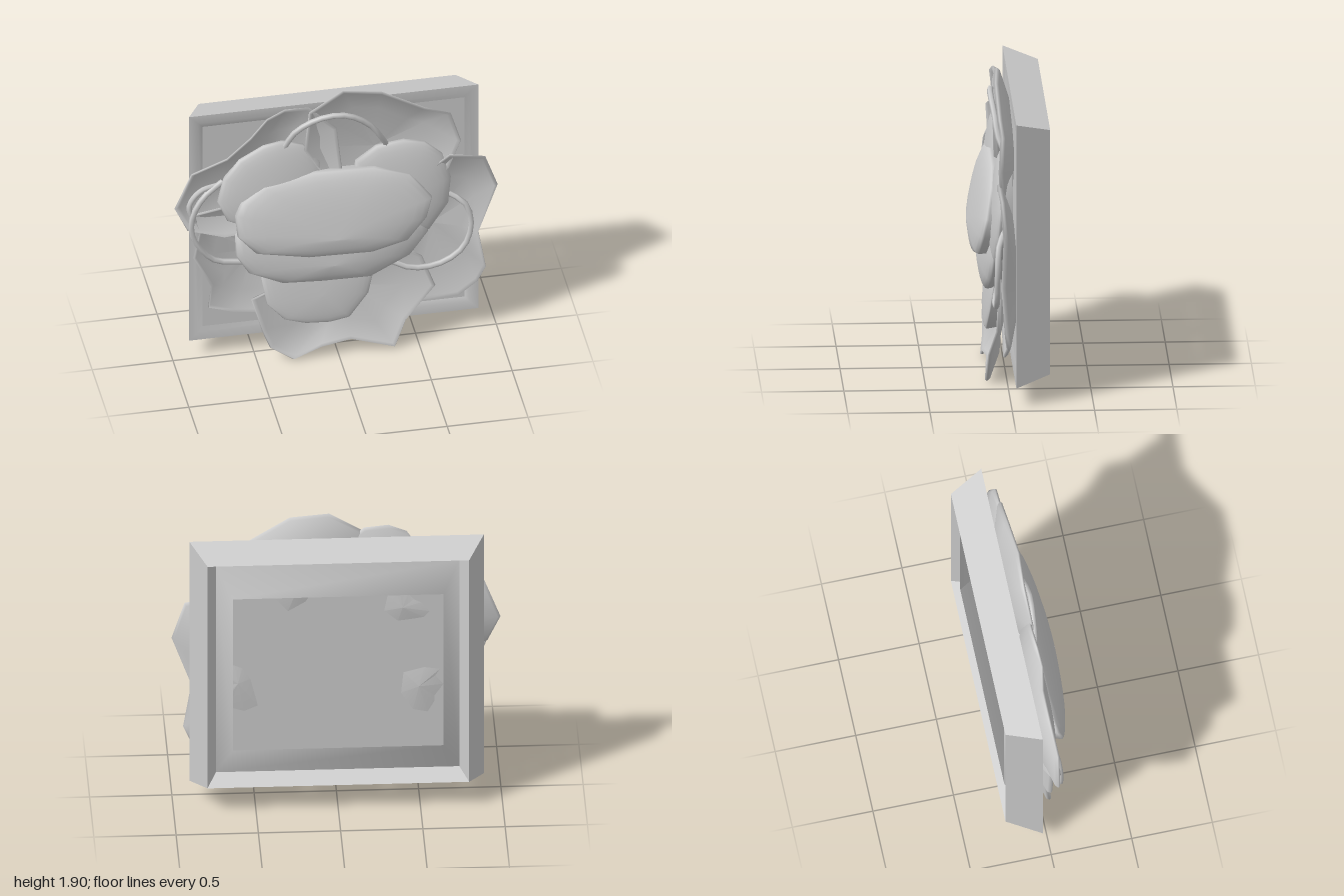
import * as THREE from 'three';
import { mergeVertices, toCreasedNormals } from 'three/addons/utils/BufferGeometryUtils.js';

const material = new THREE.MeshStandardMaterial({ color: 0xcccccc, side: THREE.DoubleSide });
const { lerp, mapLinear } = THREE.MathUtils;

// Skin between loops of points, listed from back to front, each counterclockwise
function loft(loops) {
  const n = loops[0].length, index = [];
  for (let r = 0; r < loops.length - 1; r++) {
    for (let i = 0; i < n; i++) {
      const j = (i + 1) % n;
      const a = r * n + i, b = r * n + j, c = a + n, d = b + n;
      index.push(a, b, d, a, d, c);
    }
  }
  const geometry = new THREE.BufferGeometry();
  geometry.setAttribute('position', new THREE.Float32BufferAttribute(loops.flat(2), 3));
  geometry.setIndex(index);
  return geometry;
}

// Scales an outline toward a centre and gives each point a depth
const shrink = (outline, [cx, cy], s, depth) => outline.map(([x, y], i) => {
  const px = cx + (x - cx) * s, py = cy + (y - cy) * s;
  return [px, py, depth(i, py)];
});

function ccw(outline) {
  const points = outline.map(([x, y]) => new THREE.Vector2(x, y));
  return THREE.ShapeUtils.isClockWise(points) ? [...outline].reverse() : outline;
}

// Depth that leans evenly from the bottom to the top of an outline
function lean(outline, zTop, zBottom) {
  const ys = outline.map(p => p[1]);
  const low = Math.min(...ys), high = Math.max(...ys);
  return y => mapLinear(y, low, high, zBottom, zTop);
}

function addMesh(group, name, geometry) {
  const mesh = new THREE.Mesh(geometry, material);
  mesh.name = name;
  group.add(mesh);
}

// Thin cupped leaf with a rounded rim and slightly wavy edge
function leaf(outline, centre, zCentre, zTop, zBottom) {
  const pts = ccw(outline);
  const rim = lean(pts, zTop, zBottom);
  const ring = (s, lift, t) => shrink(pts, centre, s,
    i => lerp(zCentre, rim(pts[i][1]) + 0.01 * Math.sin(i * 2.1), t) + lift);
  const loops = [
    ring(0.001, -0.022, 0), ring(0.65, -0.022, 0.35), ring(0.97, -0.02, 0.95),
    ring(1, -0.006, 1), ring(0.985, 0.006, 1), ring(0.95, 0, 0.9),
    ring(0.65, 0, 0.35), ring(0.001, 0, 0),
  ];
  const geometry = mergeVertices(loft(loops), 1e-4);
  geometry.computeVertexNormals();
  return geometry;
}

// Swollen fruit on a leaning base, bulging to a peak in front
function fruit(outline, base, peak, zTop, zBottom, bulge) {
  const pts = ccw(outline);
  const rim = lean(pts, zTop, zBottom);
  const loops = [shrink(pts, peak, 0.9, () => -0.02)];
  for (let k = 0; k <= 8; k++) {
    const a = (k / 8) * Math.PI / 2, t = 1 - Math.cos(a);
    const c = [0, 1].map(m => lerp(base[m], peak[m], t));
    loops.push(shrink(pts, c, Math.max(Math.cos(a), 0.002), (i, y) => rim(y) + bulge * Math.sin(a)));
  }
  const geometry = loft(loops);
  geometry.computeVertexNormals();
  return geometry;
}

export function createModel() {
  const group = new THREE.Group();
  const midY = 0.953;

  // Frame tapering to the back, with a grooved rear rim around the opening
  const profile = [
    [0.8, 0.73, -0.05], [0.64, 0.525, -0.215], [0.74, 0.715, -0.14], [0.795, 0.77, -0.24],
    [0.895, 0.83, -0.03], [0.84, 0.775, -0.03], [0.8, 0.73, -0.05],
  ];
  const frame = loft(profile.map(([x, y, z]) =>
    [[-x, midY - y, z], [x, midY - y, z], [x, midY + y, z], [-x, midY + y, z]]));
  addMesh(group, 'frame', toCreasedNormals(frame, 0.9));

  // Back board set in the frame
  const board = new THREE.PlaneGeometry(1.62, 1.48);
  board.translate(0, midY, -0.04);
  addMesh(group, 'board', board);

  // Leaves: outline, centre, centre depth, rim depth at top and bottom
  const leaves = {
    upperLeftLeaf: [[[-1, 1.17], [-0.9, 1.42], [-0.68, 1.5], [-0.53, 1.63], [-0.43, 1.77], [-0.32, 1.82],
      [-0.17, 1.81], [0, 1.65], [0.05, 1.2], [-0.3, 0.95], [-0.7, 0.93], [-0.92, 1]],
      [-0.4, 1.3], -0.03, 0.06, 0.06],
    topLeaf: [[[-0.17, 1.78], [0.04, 1.91], [0.28, 1.88], [0.55, 1.72], [0.71, 1.65], [0.77, 1.45], [0.7, 1.25],
      [0.4, 1], [0, 1.15], [-0.2, 1.5]], [0.25, 1.42], -0.03, 0.065, 0.05],
    rightLeaf: [[[0.7, 1.36], [0.92, 1.31], [1, 1.08], [0.88, 0.75], [0.93, 0.47], [0.88, 0.36], [0.76, 0.28],
      [0.5, 0.27], [0.3, 0.4], [0.3, 0.9], [0.5, 1.2]], [0.6, 0.8], -0.03, 0.065, 0.03],
    lowerLeftLeaf: [[[-0.9, 1.1], [-0.84, 0.98], [-0.88, 0.77], [-0.77, 0.55], [-0.79, 0.4], [-0.62, 0.33],
      [-0.4, 0.31], [-0.15, 0.6], [-0.25, 1], [-0.6, 1.15]], [-0.5, 0.75], -0.03, 0.04, 0.03],
    bottomLeaf: [[[-0.53, 0.45], [-0.47, 0.23], [-0.42, 0.1], [-0.28, 0.01], [-0.11, 0.08], [0.08, 0.1],
      [0.35, 0.02], [0.42, 0.2], [0.61, 0.4], [0.53, 0.62], [0.45, 0.68], [0.2, 0.75], [-0.3, 0.75],
      [-0.42, 0.5]], [0.05, 0.45], 0.03, 0.04, 0.13],
  };
  for (const [name, args] of Object.entries(leaves)) addMesh(group, name, leaf(...args));

  // Fruit: outline, base centre, peak, rim depth at top and bottom, bulge
  const fruits = {
    upperLeftFruit: [[[-0.74, 1.2], [-0.7, 1.35], [-0.6, 1.47], [-0.45, 1.55], [-0.33, 1.57], [-0.2, 1.53],
      [-0.1, 1.4], [-0.08, 1.2], [-0.2, 1.02], [-0.5, 0.98], [-0.68, 1.06]],
      [-0.4, 1.28], [-0.4, 1.22], 0.02, 0.09, 0.05],
    upperRightFruit: [[[0.12, 1.37], [0.25, 1.46], [0.42, 1.48], [0.55, 1.45], [0.66, 1.35], [0.71, 1.18],
      [0.69, 1], [0.57, 0.83], [0.4, 0.8], [0.2, 0.95], [0.1, 1.15]],
      [0.42, 1.16], [0.42, 1.1], 0.02, 0.08, 0.06],
    bottomFruit: [[[-0.47, 0.62], [-0.44, 0.42], [-0.33, 0.3], [-0.2, 0.26], [-0.05, 0.25], [0.07, 0.27],
      [0.19, 0.42], [0.24, 0.62], [0.1, 0.75], [-0.3, 0.75]], [-0.1, 0.5], [-0.1, 0.45], 0.05, 0.115, 0.035],
    lowerFruit: [[[-0.63, 0.95], [-0.63, 0.8], [-0.55, 0.67], [-0.35, 0.58], [-0.1, 0.565], [0.2, 0.56],
      [0.45, 0.68], [0.56, 0.82], [0.57, 0.95], [0.3, 1.05], [-0.4, 1.05]],
      [-0.03, 0.8], [-0.03, 0.7], 0.06, 0.115, 0.07],
    frontFruit: [[[-0.64, 1.12], [-0.6, 1.2], [-0.47, 1.3], [-0.15, 1.35], [0.23, 1.34], [0.45, 1.27],
      [0.58, 1.1], [0.54, 0.97], [0.42, 0.84], [0.2, 0.79], [-0.2, 0.8], [-0.52, 0.86], [-0.63, 0.98]],
      [-0.03, 1.05], [-0.02, 0.93], 0.07, 0.185, 0.075],
  };
  for (const [name, args] of Object.entries(fruits)) addMesh(group, name, fruit(...args));

  // Curling tendrils
  const tendrils = {
    topTendril: [[-0.32, 1.52, 0.03], [-0.25, 1.65, 0.06], [-0.1, 1.74, 0.08], [0.05, 1.75, 0.09],
      [0.2, 1.65, 0.07], [0.28, 1.53, 0.05], [0.33, 1.42, 0]],
    leftTendril: [[-0.7, 1.32, 0.03], [-0.82, 1.25, 0.07], [-0.89, 1.13, 0.08], [-0.9, 1, 0.08],
      [-0.85, 0.88, 0.08], [-0.75, 0.77, 0.07], [-0.58, 0.73, 0.06]],
    leftInnerTendril: [[-0.72, 1.3, 0.03], [-0.84, 1.28, 0.05], [-0.91, 1.19, 0.06], [-0.88, 1.06, 0.06]],
    rightTendril: [[0.68, 1.06, 0.03], [0.79, 0.99, 0.07], [0.83, 0.85, 0.08], [0.78, 0.67, 0.08],
      [0.64, 0.57, 0.08], [0.46, 0.56, 0.08], [0.3, 0.63, 0.05]],
  };
  for (const [name, points] of Object.entries(tendrils)) {
    const path = new THREE.CatmullRomCurve3(points.map(p => new THREE.Vector3(...p)));
    addMesh(group, name, new THREE.TubeGeometry(path, 14, 0.018, 6));
  }
  return group;
}
